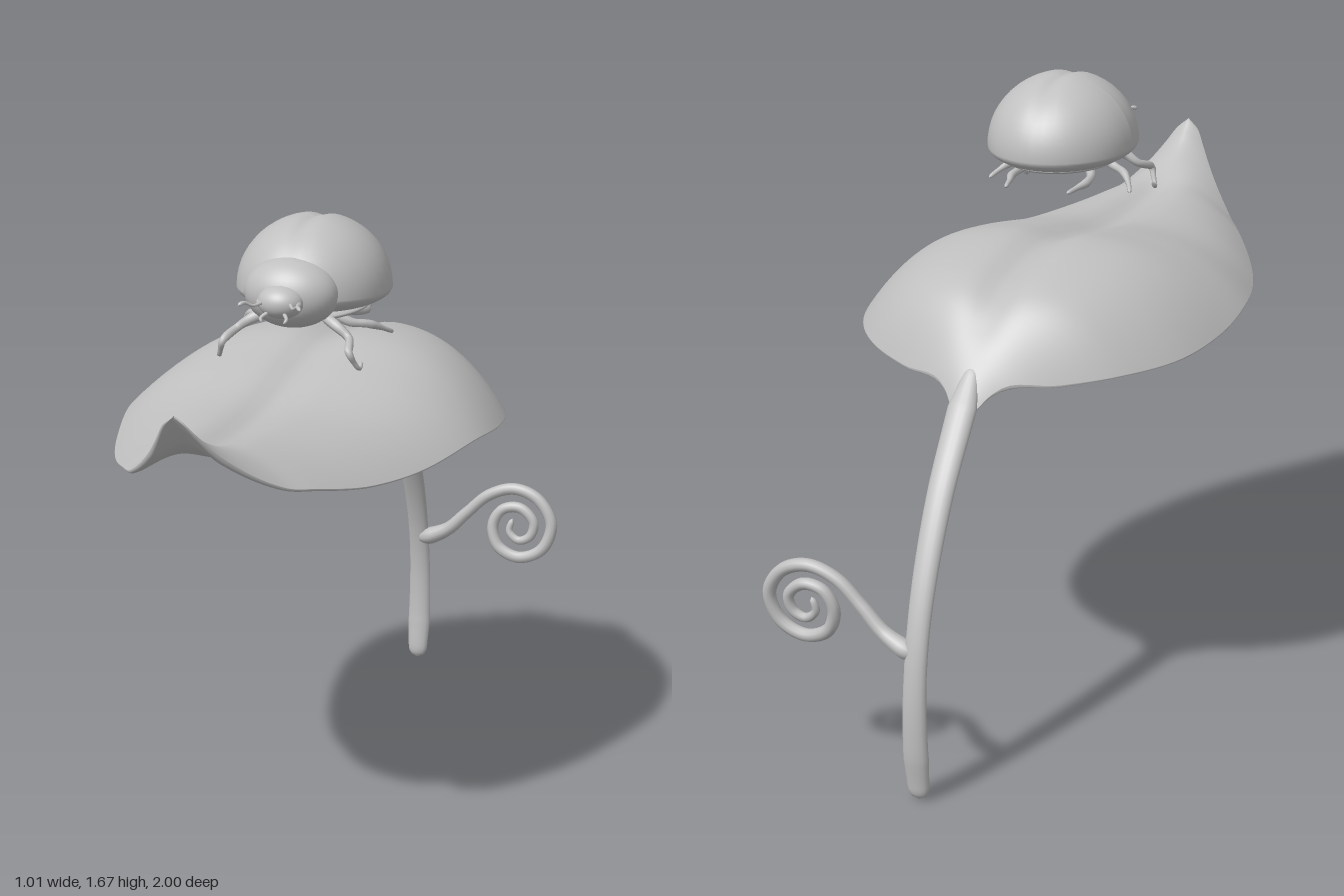
import * as THREE from 'three';

const grey = new THREE.MeshStandardMaterial({ color: 0xc0c0c0, side: THREE.DoubleSide });
grey.name = 'light grey';
const V = (x, y, z) => new THREE.Vector3(x, y, z);

function add(parent, name, geometry) {
  const mesh = new THREE.Mesh(geometry, grey);
  mesh.name = name;
  parent.add(mesh);
  return mesh;
}

// Skin a list of equal, closed rings
function loft(rings) {
  const n = rings[0].length, index = [];
  for (let i = 0; i < rings.length - 1; i++) {
    for (let j = 0; j < n; j++) {
      const a = i * n + j, b = i * n + (j + 1) % n;
      index.push(a, b, a + n, b, b + n, a + n);
    }
  }
  const g = new THREE.BufferGeometry().setFromPoints(rings.flat());
  g.setIndex(index);
  g.computeVertexNormals();
  return g;
}

// Tube along points whose radius follows the list of radii, with rounded ends
function taper(points, radii, steps = 40, sides = 10) {
  const curve = new THREE.CatmullRomCurve3(points.map(p => V(...p)));
  const length = curve.getLength();
  const { normals, binormals } = curve.computeFrenetFrames(steps);
  const rings = [];
  for (let i = 0; i <= steps; i++) {
    const t = i / steps, k = t * (radii.length - 1), a = Math.min(Math.floor(k), radii.length - 2);
    let r = THREE.MathUtils.lerp(radii[a], radii[a + 1], k - a);
    const gap = Math.min(1, Math.min(t, 1 - t) * length / (2 * r));
    r *= Math.max(0.02, Math.sqrt(1 - (1 - gap) ** 2));
    const c = curve.getPointAt(t), ring = [];
    for (let j = 0; j < sides; j++) {
      const q = j / sides * Math.PI * 2;
      ring.push(c.clone().addScaledVector(normals[i], Math.cos(q) * r).addScaledVector(binormals[i], Math.sin(q) * r));
    }
    rings.push(ring);
  }
  return loft(rings);
}

function ellipsoid(x, y, z, rx, ry, rz) {
  return new THREE.SphereGeometry(1, 40, 28).scale(rx, ry, rz).translate(x, y, z);
}

// Domed leaf with a midrib groove and an arched, upturned tip
function leafGeometry() {
  // z, half width, ridge height, rim height, fullness of the dome
  const stations = [
    [-0.66, 0.035, 0.985, 0.97, 2], [-0.62, 0.08, 1.05, 1.015, 2], [-0.55, 0.22, 1.145, 1.025, 2.4],
    [-0.45, 0.36, 1.23, 1.04, 3], [-0.3, 0.46, 1.27, 1.05, 3.2], [-0.1, 0.503, 1.287, 1.068, 3.2],
    [0.1, 0.498, 1.257, 1.088, 3.2], [0.35, 0.435, 1.215, 1.073, 3], [0.55, 0.355, 1.212, 1.08, 2.6],
    [0.7, 0.27, 1.225, 1.11, 2.1], [0.8, 0.2, 1.242, 1.14, 1.8], [0.9, 0.115, 1.28, 1.217, 1.6],
    [0.96, 0.063, 1.325, 1.285, 1.5], [0.99, 0.032, 1.352, 1.332, 1.5], [1, 0.002, 1.36, 1.355, 1.5]
  ];
  const shape = new THREE.CatmullRomCurve3(stations.map(s => V(s[0], s[1], s[2])));
  const rim = new THREE.CatmullRomCurve3(stations.map(s => V(s[0], s[3], s[4])));
  const rings = [], steps = 90, half = 50;
  for (let i = 0; i <= steps; i++) {
    const a = shape.getPoint(i / steps), b = rim.getPoint(i / steps);
    const z = a.x, w = Math.max(a.y, 0.001), ring = [];
    const groove = 0.028 * THREE.MathUtils.smoothstep(z, -0.66, -0.4) * (1 - THREE.MathUtils.smoothstep(z, 0.7, 0.92));
    for (let j = 0; j < half * 2; j++) {
      const q = j / half * Math.PI, u = Math.cos(q);
      const top = b.y + (a.z - b.y) * (1 - Math.abs(u) ** b.z) - groove * Math.exp(-((u * w / 0.055) ** 2));
      const thick = 0.028 * Math.min(1, w / 0.1) * Math.sqrt(1 - u ** 8);
      ring.push(V(u * w, j > half ? top - thick : top, z));
    }
    rings.push(ring);
  }
  return loft(rings);
}

function beetle() {
  const bug = new THREE.Group();
  bug.name = 'beetle';
  bug.position.x = 0.055;

  // Wing cases: high dome, shallow belly, groove down the middle
  const shell = ellipsoid(0, 0, 0, 0.205, 1, 0.23);
  const p = shell.attributes.position;
  for (let i = 0; i < p.count; i++) {
    const y = p.getY(i), x = p.getX(i);
    p.setY(i, y > 0 ? y * 0.192 * (1 - 0.05 * Math.exp(-((x / 0.022) ** 2))) : y * 0.06);
  }
  shell.computeVertexNormals();
  const cases = add(bug, 'wingCases', shell);
  cases.position.set(0, 1.485, 0.144);
  cases.rotation.x = -0.05;

  add(bug, 'thorax', ellipsoid(0, 1.507, 0.32, 0.128, 0.093, 0.095));
  add(bug, 'head', ellipsoid(0, 1.5, 0.4, 0.062, 0.044, 0.052));
  add(bug, 'belly', ellipsoid(0, 1.44, 0.15, 0.15, 0.022, 0.19));

  const legs = {
    frontLeg: [[0.07, 1.44, 0.28], [0.12, 1.42, 0.305], [0.155, 1.395, 0.315], [0.175, 1.372, 0.37], [0.185, 1.345, 0.36], [0.195, 1.325, 0.345], [0.195, 1.34, 0.325]],
    middleLeg: [[0.07, 1.44, 0.21], [0.12, 1.41, 0.21], [0.165, 1.4, 0.18], [0.195, 1.38, 0.14], [0.21, 1.365, 0.11]],
    hindLeg: [[0.06, 1.44, 0.14], [0.1, 1.41, 0.1], [0.11, 1.4, 0.04], [0.1, 1.395, 0], [0.09, 1.39, -0.05]]
  };
  for (const s of [-1, 1]) {
    const side = s > 0 ? 'left ' : 'right ';
    const mirror = pts => pts.map(([x, y, z]) => [x * s, y, z]);
    for (const [name, pts] of Object.entries(legs)) {
      add(bug, side + name, taper(mirror(pts), [0.014, 0.015, 0.011, 0.012, 0.007, 0.006], 32, 8));
    }
    add(bug, side + 'eye', ellipsoid(s * 0.05, 1.498, 0.415, 0.012, 0.013, 0.014));
    add(bug, side + 'antenna', taper(mirror([[0.035, 1.505, 0.43], [0.055, 1.5, 0.46], [0.072, 1.51, 0.475], [0.085, 1.505, 0.49]]), [0.006, 0.004, 0.004, 0.007], 16, 8));
    add(bug, side + 'feeler', taper(mirror([[0.02, 1.48, 0.435], [0.035, 1.468, 0.455], [0.03, 1.46, 0.465]]), [0.006, 0.005, 0.004], 10, 8));
  }
  return bug;
}

export function createModel() {
  const model = new THREE.Group();
  add(model, 'leaf', leafGeometry());

  // Stem, wider than it is deep
  const stem = add(model, 'stem', taper([
    [0, 1.065, -0.596], [0, 1.0, -0.645], [0, 0.93, -0.7], [0, 0.79, -0.805], [0, 0.61, -0.9], [0, 0.45, -0.955],
    [0, 0.3, -0.979], [0, 0.15, -0.979], [0, 0.04, -0.966], [0, 0.001, -0.963]
  ], [0.01, 0.023, 0.022, 0.021, 0.02, 0.019, 0.018, 0.018, 0.019, 0.02, 0.016], 120, 16));
  stem.scale.x = 1.75;

  // Curled tendril
  const curl = [
    [0, 0.4], [0.04, 0.413], [0.1, 0.445], [0.16, 0.505], [0.23, 0.57], [0.31, 0.597], [0.385, 0.572], [0.431, 0.5],
    [0.405, 0.42], [0.335, 0.388], [0.268, 0.415], [0.247, 0.48], [0.275, 0.53], [0.33, 0.54], [0.375, 0.5],
    [0.365, 0.455], [0.33, 0.44], [0.3, 0.465], [0.308, 0.505]
  ];
  add(model, 'tendril', taper(
    curl.map(([x, y]) => [x, y, THREE.MathUtils.lerp(-0.962, -0.95 + (0.6 - y) * 0.13, Math.min(1, x / 0.25))]),
    [0.03, 0.021, 0.018, 0.018, 0.018, 0.018, 0.018, 0.018, 0.017, 0.016, 0.014, 0.009], 160, 10));

  model.add(beetle());
  return model;
}
